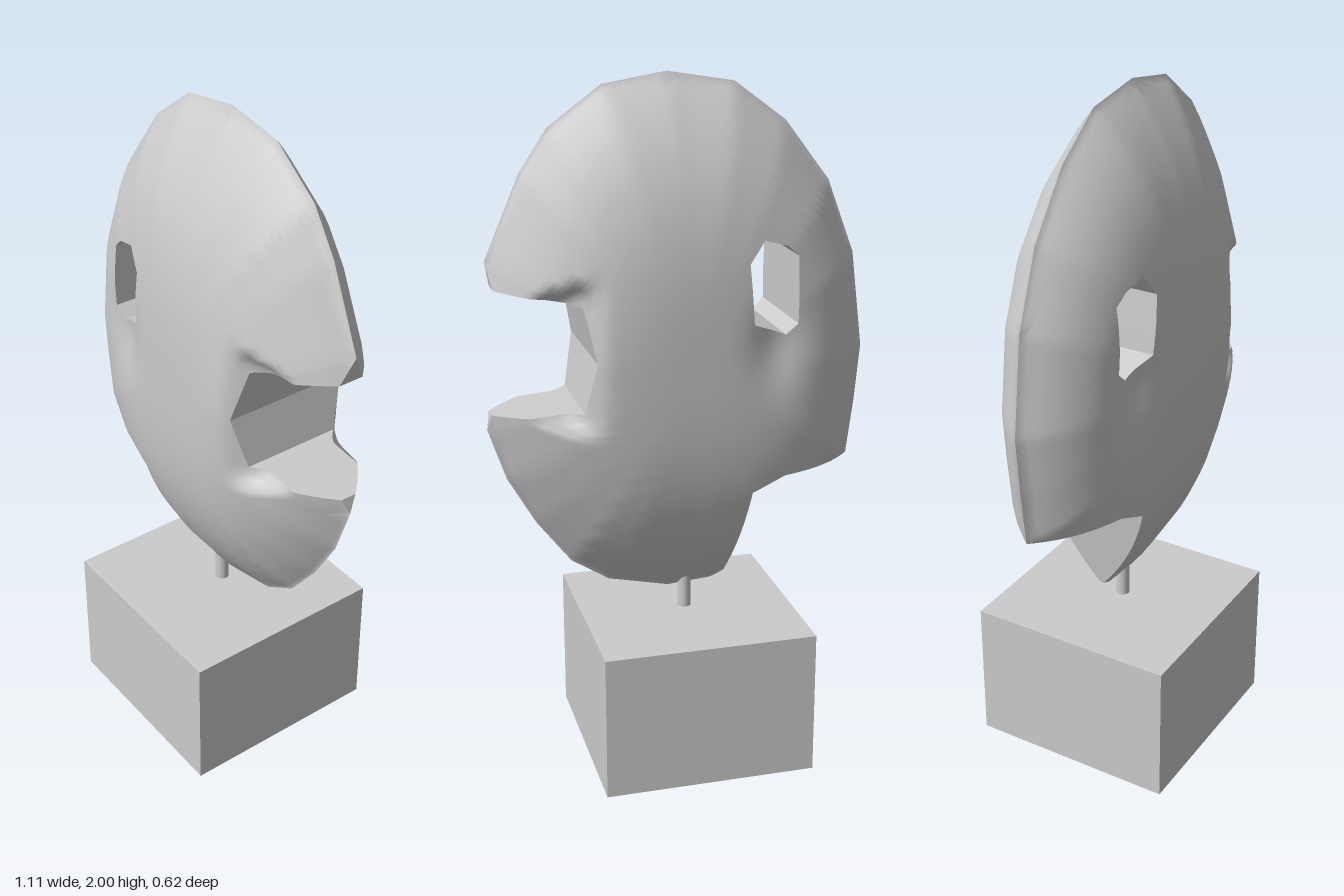
import * as THREE from 'three';

const V = (list) => list.map(([x, y]) => new THREE.Vector2(x, y));
const CENTER = new THREE.Vector2(0, 1.25);

// knife-edged oval rim, and the cuts that leave the actual silhouette
const upperRim = [[-0.52, 0.87], [-0.54, 1.03], [-0.555, 1.2], [-0.52, 1.48], [-0.44, 1.69], [-0.31, 1.86],
  [-0.16, 1.97], [0.03, 2], [0.21, 1.97], [0.36, 1.86], [0.44, 1.74], [0.54, 1.51]];
const lowerRim = [[0.55, 1.03], [0.5, 0.88], [0.42, 0.74], [0.32, 0.61], [0.21, 0.54], [0.03, 0.5], [-0.1, 0.51]];
const mouth = [[0.525, 1.435], [0.4, 1.42], [0.3, 1.4], [0.27, 1.25], [0.3, 1.1], [0.54, 1.08]];
const step = [[-0.14, 0.53], [-0.18, 0.83], [-0.28, 0.87]];
const eye = [[-0.305, 1.32], [-0.27, 1.29], [-0.17, 1.33], [-0.155, 1.5], [-0.2, 1.56], [-0.27, 1.54], [-0.305, 1.51]];

const rim = V([...upperRim, [0.6, 1.27], ...lowerRim, [-0.3, 0.58], [-0.42, 0.7]]);

// 0 at the centre, 1 on the rim
function gauge(x, y) {
  let r = 0;
  rim.forEach((a, i) => {
    const b = rim[(i + 1) % rim.length];
    const nx = b.y - a.y, ny = a.x - b.x;
    const d = nx * (a.x - CENTER.x) + ny * (a.y - CENTER.y);
    r = Math.max(r, (nx * (x - CENTER.x) + ny * (y - CENTER.y)) / d);
  });
  return r;
}

// half thickness of the lens-shaped body
function thickness(x, y) {
  const power = x < 0 ? 3 - 4 * x : 3;
  let t = (0.205 + 0.06 * x) * (1 - gauge(x, y) ** power);
  // shallow hollow below the eye
  t -= 0.025 * Math.exp(-(((x + 0.24) / 0.07) ** 2) - ((y - 1.27) / 0.12) ** 2);
  // bevelled lips of the mouth
  const depth = y > 1.25 ? y - 1.42 : 1.09 - y;
  const limit = 0.11 + 1.2 * Math.max(0, depth);
  const lip = THREE.MathUtils.smoothstep(x, 0.24, 0.36);
  t = THREE.MathUtils.lerp(t, Math.min(t, limit), lip);
  return Math.max(0, t);
}

function oriented(points, clockwise) {
  return THREE.ShapeUtils.isClockWise(points) === clockwise ? points : points.slice().reverse();
}

function makeHead() {
  const outline = oriented(V([...upperRim, ...mouth, ...lowerRim, ...step]), false);
  const hole = oriented(V(eye), true);
  const flat = [...outline, ...hole];
  const pos = [], nor = [];
  const levels = 4, e = 0.02;

  const vertex = (p, side) => {
    const n = new THREE.Vector3(
      (thickness(p.x - e, p.y) - thickness(p.x + e, p.y)) / (2 * e),
      (thickness(p.x, p.y - e) - thickness(p.x, p.y + e)) / (2 * e), 1).normalize();
    pos.push(p.x, p.y, side * thickness(p.x, p.y));
    nor.push(n.x, n.y, side * n.z);
  };
  // split each flat triangle, then bulge it to both sides
  const face = (a, b, c, level) => {
    if (level === 0) {
      [a, b, c].forEach((p) => vertex(p, 1));
      [a, c, b].forEach((p) => vertex(p, -1));
      return;
    }
    const mid = (p, q) => p.clone().lerp(q, 0.5);
    const ab = mid(a, b), bc = mid(b, c), ca = mid(c, a);
    [[a, ab, ca], [ab, b, bc], [ca, bc, c], [ab, bc, ca]].forEach((t) => face(...t, level - 1));
  };
  for (const [i, j, k] of THREE.ShapeUtils.triangulateShape(outline, [hole])) {
    const [a, b, c] = [flat[i], flat[j], flat[k]];
    const ccw = (b.x - a.x) * (c.y - a.y) - (b.y - a.y) * (c.x - a.x) > 0;
    if (ccw) face(a, b, c, levels);
    else face(a, c, b, levels);
  }

  // walls of the mouth, the step and the eye
  const parts = 2 ** levels;
  for (const loop of [outline, hole]) {
    loop.forEach((a, i) => {
      const b = loop[(i + 1) % loop.length];
      const n = new THREE.Vector2(b.y - a.y, a.x - b.x).normalize();
      for (let s = 0; s < parts; s++) {
        const p = a.clone().lerp(b, s / parts), q = a.clone().lerp(b, (s + 1) / parts);
        const tp = thickness(p.x, p.y), tq = thickness(q.x, q.y);
        if (tp + tq < 1e-4) continue;
        pos.push(p.x, p.y, tp, p.x, p.y, -tp, q.x, q.y, -tq, p.x, p.y, tp, q.x, q.y, -tq, q.x, q.y, tq);
        for (let k = 0; k < 6; k++) nor.push(n.x, n.y, 0);
      }
    });
  }

  const geometry = new THREE.BufferGeometry();
  geometry.setAttribute('position', new THREE.Float32BufferAttribute(pos, 3));
  geometry.setAttribute('normal', new THREE.Float32BufferAttribute(nor, 3));
  return geometry;
}

export function createModel() {
  const group = new THREE.Group();
  group.name = 'abstractHeadSculpture';
  const material = new THREE.MeshStandardMaterial({ color: 0xcccccc });
  const add = (name, geometry, x, y) => {
    const mesh = new THREE.Mesh(geometry, material);
    mesh.name = name;
    mesh.position.set(x, y, 0);
    group.add(mesh);
  };

  add('plinth', new THREE.BoxGeometry(0.62, 0.43, 0.62), -0.02, 0.215);
  add('pin', new THREE.CylinderGeometry(0.02, 0.02, 0.12, 16), -0.02, 0.475);
  add('head', makeHead(), 0, 0);
  return group;
}
